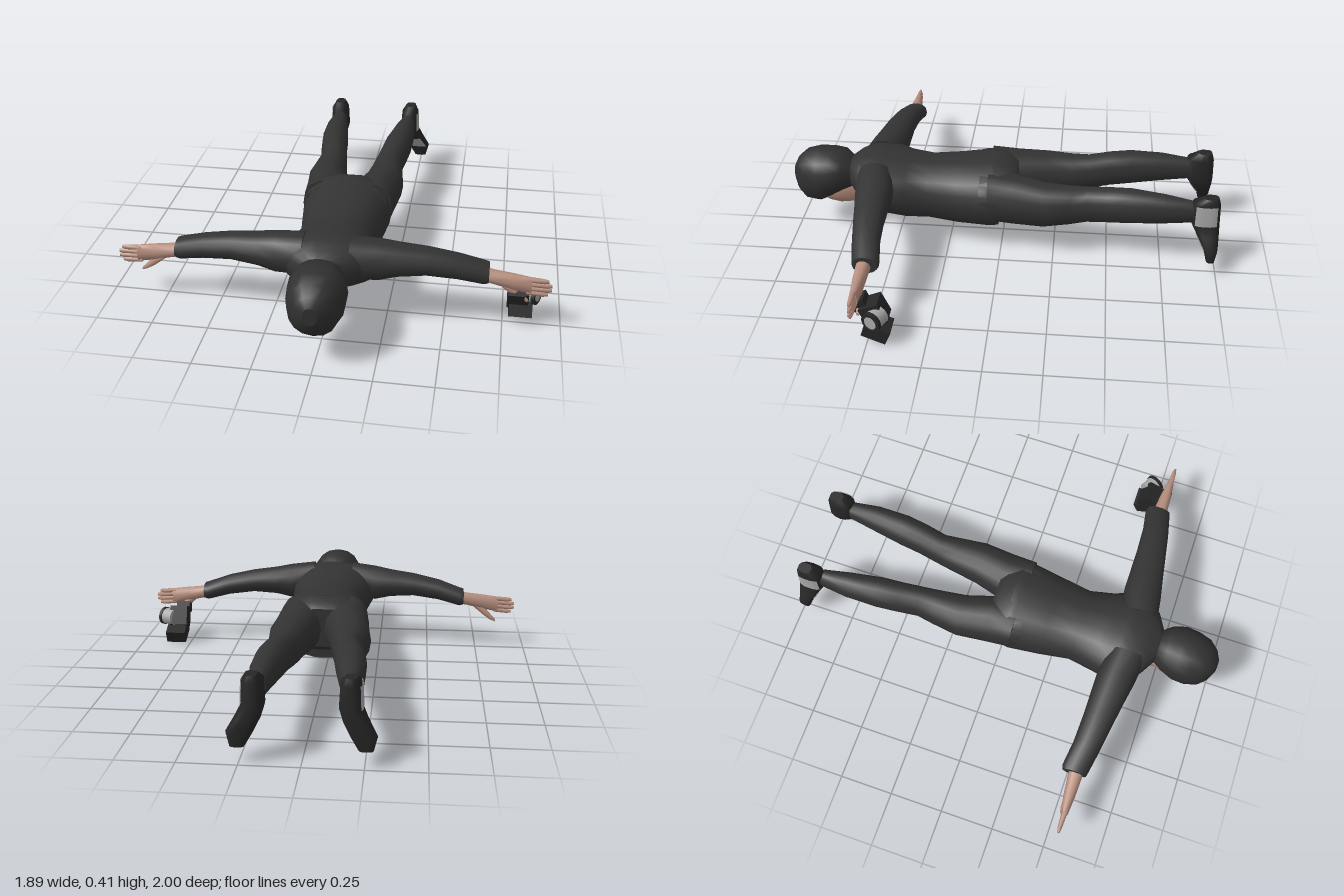
import * as THREE from 'three';

const mat = (name, color, extra = {}) => new THREE.MeshStandardMaterial({ name, color, ...extra });

// Axis order: [u, v, t] indices into xyz, and handedness
const AXES = { x: [2, 1, 0, -1], y: [0, 2, 1, -1], z: [0, 1, 2, 1] };

// Skin rounded cross-sections [t, uMin, uMax, vMin, vMax] along an axis; side -1 mirrors in x.
// from/to select part of the circumference; grow pushes the surface outwards.
function loft(axis, rows, { side = 1, sides = 14, power = 0.9, from = 0, to = 360, grow = 0 } = {}) {
  const [U, V, T, hand] = AXES[axis];
  const closed = to - from === 360;
  const pos = [], idx = [];
  const flip = hand * side * Math.sign(rows[rows.length - 1][0] - rows[0][0]) < 0;
  const tri = (a, b, c) => (flip ? idx.push(a, c, b) : idx.push(a, b, c));
  const n = closed ? sides : sides + 1;
  const bend = (x) => Math.sign(x) * Math.pow(Math.abs(x), power);
  const put = (u, v, t) => {
    const p = [0, 0, 0];
    p[U] = u; p[V] = v; p[T] = t; p[0] *= side;
    pos.push(...p);
    return pos.length / 3 - 1;
  };
  const ring = ([t, u0, u1, v0, v1]) => {
    const start = pos.length / 3;
    for (let j = 0; j < n; j++) {
      const a = THREE.MathUtils.degToRad(from + ((to - from) * j) / sides);
      put((u0 + u1) / 2 + bend(Math.cos(a)) * ((u1 - u0) / 2 + grow),
        (v0 + v1) / 2 + bend(Math.sin(a)) * ((v1 - v0) / 2 + grow), t);
    }
    return start;
  };
  const starts = rows.map(ring);
  for (let i = 0; i + 1 < rows.length; i++) {
    for (let j = 0; j < sides; j++) {
      const k = (j + 1) % n, a = starts[i], b = starts[i + 1];
      tri(a + j, a + k, b + k);
      tri(a + j, b + k, b + j);
    }
  }
  if (closed) {
    // Flat end caps with their own vertices
    [rows[0], rows[rows.length - 1]].forEach((r, e) => {
      const s = ring(r);
      const c = put((r[1] + r[2]) / 2, (r[3] + r[4]) / 2, r[0]);
      for (let j = 0; j < n; j++) {
        const k = (j + 1) % n;
        if (e) tri(c, s + j, s + k); else tri(c, s + k, s + j);
      }
    });
  }
  const g = new THREE.BufferGeometry();
  g.setAttribute('position', new THREE.Float32BufferAttribute(pos, 3));
  g.setIndex(idx);
  g.computeVertexNormals();
  return g;
}

// Symmetric rows: [z, halfWidth, yMin, yMax]
const sym = (rows) => rows.map(([t, w, a, b]) => [t, -w, w, a, b]);

export function createModel() {
  const cloth = mat('black cloth', 0x333333);
  const hood = mat('dark hood', 0x303030);
  const skin = mat('skin', 0xb89080);
  const grey = mat('light grey', 0xa8a8a8, { side: THREE.DoubleSide });
  const black = mat('black plastic', 0x262626);

  const model = new THREE.Group();
  const add = (name, geometry, material, parent = model) => {
    const m = new THREE.Mesh(geometry, material);
    m.name = name;
    parent.add(m);
    return m;
  };

  // Body lying face down, head towards +z
  add('jacket', loft('z', sym([
    [0.015, 0.205, 0.095, 0.415], [0.05, 0.21, 0.09, 0.42], [0.2, 0.19, 0.092, 0.4],
    [0.34, 0.168, 0.105, 0.39], [0.45, 0.19, 0.115, 0.4], [0.55, 0.22, 0.15, 0.42],
    [0.62, 0.205, 0.19, 0.418], [0.68, 0.15, 0.22, 0.4], [0.72, 0.08, 0.24, 0.38],
  ]), { sides: 18 }), cloth);
  add('hips', loft('z', sym([
    [0.1, 0.2, 0.15, 0.41], [0.02, 0.214, 0.15, 0.415], [-0.04, 0.205, 0.155, 0.395], [-0.07, 0.17, 0.18, 0.37],
  ])), cloth);

  // Head with a close hood, face turned down
  add('hood', loft('z', sym([
    [0.71, 0.07, 0.24, 0.37], [0.76, 0.105, 0.22, 0.412], [0.82, 0.125, 0.185, 0.42],
    [0.88, 0.122, 0.155, 0.42], [0.94, 0.105, 0.16, 0.405], [0.98, 0.07, 0.2, 0.37], [1, 0.03, 0.25, 0.33],
  ]), { sides: 16 }), hood);
  add('face', loft('z', sym([
    [0.7, 0.035, 0.155, 0.25], [0.715, 0.058, 0.145, 0.28], [0.78, 0.084, 0.145, 0.3],
    [0.83, 0.09, 0.16, 0.3], [0.87, 0.08, 0.18, 0.3],
  ])), skin);
  const nose = add('nose', new THREE.ConeGeometry(0.018, 0.05, 4), skin);
  nose.position.set(0, 0.147, 0.79);
  nose.rotation.x = Math.PI / 2;
  add('neck', loft('z', sym([[0.66, 0.06, 0.23, 0.36], [0.76, 0.06, 0.21, 0.36]])), skin);

  for (const side of [1, -1]) {
    const label = side > 0 ? 'left' : 'right';
    const o = { side };
    add(label + 'Sleeve', loft('x', [
      [0.1, 0.5, 0.68, 0.24, 0.42], [0.22, 0.49, 0.665, 0.235, 0.408], [0.3, 0.49, 0.65, 0.255, 0.393],
      [0.42, 0.49, 0.63, 0.265, 0.378], [0.55, 0.485, 0.61, 0.25, 0.352], [0.66, 0.47, 0.59, 0.225, 0.316],
      [0.68, 0.475, 0.585, 0.23, 0.31],
    ], o), cloth);

    // Hand: wrist and palm, four fingers, thumb
    const hand = new THREE.Group();
    hand.name = label + 'Hand';
    model.add(hand);
    add('palm', loft('x', [
      [0.64, 0.5, 0.57, 0.235, 0.3], [0.7, 0.507, 0.57, 0.225, 0.288],
      [0.78, 0.515, 0.567, 0.205, 0.28], [0.86, 0.527, 0.56, 0.19, 0.27],
    ], { side, sides: 10 }), skin, hand);
    for (let f = 0; f < 4; f++) {
      const y = 0.2 + f * 0.02, tip = 0.193 + f * 0.021, end = [0.93, 0.945, 0.945, 0.93][f];
      add('finger', loft('x', [
        [0.84, 0.53, 0.558, y - 0.011, y + 0.011], [end - 0.02, 0.535, 0.554, tip - 0.011, tip + 0.011],
        [end, 0.54, 0.55, tip - 0.007, tip + 0.007],
      ], { side, sides: 6 }), skin, hand);
    }
    add('thumb', loft('x', [
      [0.74, 0.525, 0.56, 0.21, 0.25], [0.79, 0.52, 0.555, 0.17, 0.215],
      [0.825, 0.52, 0.545, 0.147, 0.178], [0.85, 0.525, 0.54, 0.138, 0.152],
    ], { side, sides: 8 }), skin, hand);

    add(label + 'Leg', loft('z', [
      [0.06, 0.005, 0.21, 0.155, 0.4], [-0.06, 0.005, 0.22, 0.15, 0.385], [-0.2, 0.045, 0.235, 0.158, 0.367],
      [-0.32, 0.063, 0.22, 0.175, 0.36], [-0.4, 0.075, 0.208, 0.19, 0.362], [-0.5, 0.09, 0.225, 0.205, 0.374],
      [-0.6, 0.1, 0.237, 0.215, 0.38], [-0.75, 0.125, 0.238, 0.23, 0.368], [-0.88, 0.15, 0.222, 0.24, 0.348],
    ], o), cloth);

    // Shoe pointing down, with grey panels at ankle and instep
    const shoe = [
      [0.38, 0.17, 0.22, -0.985, -0.92], [0.35, 0.15, 0.235, -0.995, -0.87], [0.25, 0.145, 0.24, -1, -0.87],
      [0.2, 0.16, 0.265, -1, -0.9], [0.14, 0.19, 0.3, -0.998, -0.935], [0.08, 0.225, 0.285, -0.99, -0.95],
    ];
    add(label + 'Shoe', loft('y', shoe, { side, power: 0.75 }), black);
    add(label + 'AnklePanel', loft('y', shoe.slice(1, 3), { side, power: 0.75, sides: 5, from: -40, to: 40, grow: 0.004 }), grey);
    add(label + 'InstepPanel', loft('y', shoe.slice(3, 5), { side, power: 0.75, sides: 5, from: 50, to: 130, grow: 0.004 }), grey);
  }

  // Handheld camera under the left hand
  const camera = new THREE.Group();
  camera.name = 'handheldCamera';
  camera.position.set(0.82, 0.1, 0.47);
  model.add(camera);
  const box = (name, size, at, tilt) => {
    const m = add(name, new THREE.BoxGeometry(...size), black, camera);
    m.position.set(...at);
    m.rotation.x = tilt;
  };
  box('cameraBody', [0.09, 0.1, 0.09], [-0.01, 0.04, 0], 0.4);
  box('cameraBase', [0.1, 0.065, 0.11], [0.005, -0.04, -0.01], -0.4);
  box('cameraGrip', [0.07, 0.05, 0.06], [-0.02, 0.075, 0.06], 0.4);
  const lens = new THREE.Group();
  lens.name = 'lens';
  lens.position.set(0.04, 0.04, -0.015);
  lens.rotation.set(0, -0.45, -Math.PI / 2);
  camera.add(lens);
  add('lensBarrel', new THREE.CylinderGeometry(0.042, 0.042, 0.06, 14), grey, lens);
  add('lensRim', new THREE.CylinderGeometry(0.046, 0.046, 0.016, 14), black, lens).position.y = 0.032;
  add('lensGlass', new THREE.CylinderGeometry(0.03, 0.03, 0.006, 14), grey, lens).position.y = 0.039;

  return model;
}
